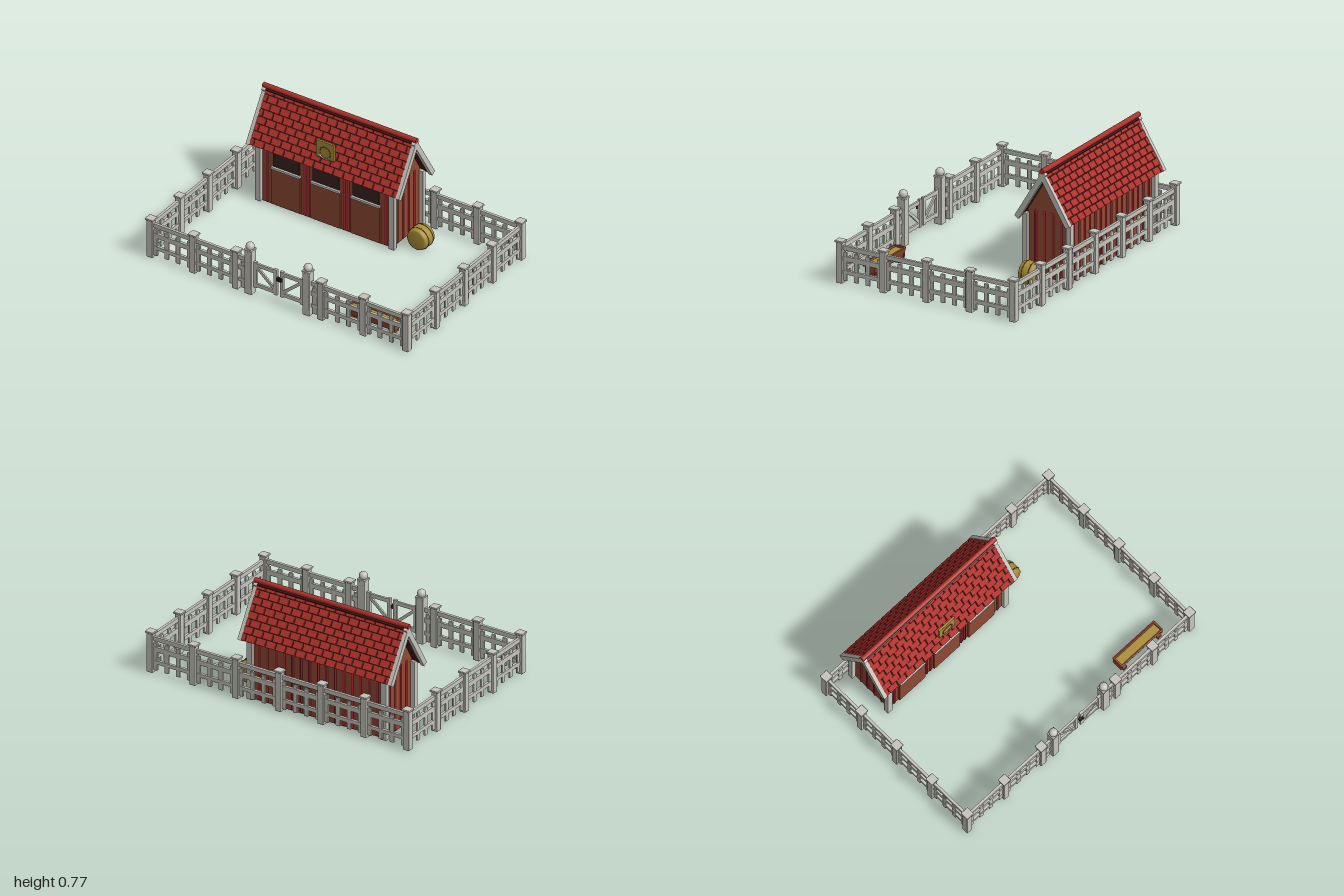
import * as THREE from 'three';
import { mergeGeometries } from 'three/addons/utils/BufferGeometryUtils.js';
import { RoundedBoxGeometry } from 'three/addons/geometries/RoundedBoxGeometry.js';

const material = (name, color) => {
  const m = new THREE.MeshStandardMaterial({ color });
  m.name = name;
  return m;
};

// Box centred at x, y, z, optionally turned about one axis
function box(w, h, d, x, y, z, rx = 0, rz = 0) {
  return new THREE.BoxGeometry(w, h, d).rotateX(rx).rotateZ(rz).translate(x, y, z);
}
// Softened box given by its bottom height
function soft(w, h, d, x, y0, z, r = 0.005) {
  return new RoundedBoxGeometry(w, h, d, 1, r).translate(x, y0 + h / 2, z);
}
function add(parent, name, geometries, mat) {
  const list = Array.isArray(geometries) ? geometries : [geometries];
  const mesh = new THREE.Mesh(list.length > 1 ? mergeGeometries(list) : list[0], mat);
  mesh.name = name;
  parent.add(mesh);
  return mesh;
}
function group(parent, name, x = 0, y = 0, z = 0) {
  const g = new THREE.Group();
  g.name = name;
  g.position.set(x, y, z);
  parent.add(g);
  return g;
}

export function createModel() {
  const root = new THREE.Group();
  root.name = 'stableYard';
  const white = material('weathered white', 0xc6c5bd);
  const brown = material('barn brown', 0x8f4a33);
  const red = material('roof red', 0xae312b);
  const darkRed = material('trim red', 0x94202a);
  const dark = material('roof shadow brown', 0x3d1715);
  const glass = material('stall opening', 0x38221f);
  const gold = material('straw gold', 0xac8f3a);
  const darkGold = material('twine brown', 0x6b5420);
  const iron = material('iron', 0x242122);

  // ---- Fence ----
  const X = 0.97, ZB = -0.64, ZF = 0.635, base = 0.01;
  const fence = group(root, 'fence');
  const post = (x, z) => add(fence, 'fencePost', [
    soft(0.046, 0.275, 0.046, x, base, z),
    soft(0.06, 0.014, 0.06, x, 0.284, z, 0.004),
  ], white);
  // One run of three rails with pickets, between two points
  function panel(x1, z1, x2, z2, pickets) {
    const len = Math.hypot(x2 - x1, z2 - z1);
    const g = group(fence, 'fencePanel', (x1 + x2) / 2, 0, (z1 + z2) / 2);
    g.rotation.y = Math.atan2(z1 - z2, x2 - x1);
    add(g, 'rails', [[0.25, 0.03], [0.178, 0.034], [0.087, 0.026]]
      .map(([y, h]) => box(len, h, 0.018, 0, y, 0)), white);
    const bars = [];
    for (let i = 0; i < pickets; i++)
      bars.push(soft(0.032, 0.195, 0.014, (i - (pickets - 1) / 2) * 0.085, 0.027, 0, 0.004));
    add(g, 'pickets', bars, white);
  }
  const step = X / 3, depth = (ZF - ZB) / 4;
  for (let i = 0; i <= 6; i++) {
    const x = -X + i * step;
    post(x, ZB);
    if (i !== 3) post(x, ZF);
    if (i < 6) panel(x, ZB, x + step, ZB, 4);
    if (i < 2 || i === 4 || i === 5) panel(x, ZF, x + step, ZF, 4);
  }
  for (const s of [-1, 1]) {
    for (let i = 0; i < 4; i++) {
      const z = ZB + i * depth;
      if (i) post(s * X, z);
      panel(s * X, z, s * X, z + depth, 4);
    }
    panel(s * step, ZF, s * 0.22, ZF, 1);
  }

  // ---- Gate ----
  const gate = group(root, 'gate', 0, 0, ZF);
  for (const s of [-1, 1]) {
    const px = s * 0.22;
    add(gate, 'gatePost', [
      soft(0.056, 0.32, 0.056, px, base, 0),
      soft(0.062, 0.014, 0.062, px, 0.325, 0, 0.004),
    ], white);
    add(gate, 'gatePostBall', new THREE.SphereGeometry(0.029, 20, 14).translate(px, 0.356, 0), white);
    const a = Math.atan2(0.13, 0.15) * s;
    add(gate, 'gateLeaf', [
      box(0.024, 0.19, 0.018, s * 0.023, 0.16, 0),
      box(0.024, 0.19, 0.018, s * 0.178, 0.16, 0),
      box(0.17, 0.026, 0.014, s * 0.1, 0.235, 0),
      box(0.17, 0.026, 0.014, s * 0.1, 0.085, 0),
      box(0.2, 0.02, 0.012, s * 0.1, 0.16, 0, 0, a),
    ], white);
  }
  add(gate, 'gateLatch', box(0.034, 0.024, 0.022, 0.01, 0.195, 0.012), iron);

  // ---- Stable ----
  const CX = -0.267, CZ = -0.445;
  const barn = group(root, 'stable', CX, 0, CZ);
  const halfL = 0.498, halfW = 0.155;
  const wall = new THREE.Shape([[-halfW, base], [halfW, base], [halfW, 0.46], [0, 0.715], [-halfW, 0.46]]
    .map(([x, y]) => new THREE.Vector2(x, y)));
  add(barn, 'walls', new THREE.ExtrudeGeometry(wall, { depth: halfL * 2, bevelEnabled: false })
    .translate(0, 0, -halfL).rotateY(Math.PI / 2), brown);
  const corners = [];
  for (const sx of [-1, 1]) for (const sz of [-1, 1])
    corners.push(soft(0.042, 0.42, 0.036, sx * 0.507, base, sz * 0.162, 0.004));
  add(barn, 'cornerPosts', corners, white);

  // Round battens on the end walls, the back and between the doors
  const battens = [];
  const batten = (x, z) => battens.push(
    new THREE.CapsuleGeometry(0.008, 0.43, 3, 8).translate(x, 0.235, z));
  for (const s of [-1, 1])
    for (let i = 0; i < 4; i++) batten(s * halfL, (i - 1.5) * 0.063);
  for (let i = 0; i < 15; i++) batten((i - 7) * 0.064, -halfW);
  for (const x of [-0.45, -0.165, -0.135, 0.135, 0.165, 0.45]) batten(x, halfW);
  add(barn, 'battens', battens, darkRed);

  // Three stall doors with an open upper half
  for (let i = -1; i <= 1; i++) {
    const stall = group(barn, 'stallDoor', i * 0.302, 0, halfW);
    add(stall, 'lowerDoor', soft(0.225, 0.265, 0.016, 0, 0.018, 0.006, 0.003), brown);
    add(stall, 'opening', box(0.2, 0.115, 0.008, 0, 0.35, 0.003), glass);
    add(stall, 'frame', [
      box(0.215, 0.016, 0.022, 0, 0.29, 0.011),
      box(0.215, 0.016, 0.018, 0, 0.412, 0.008),
    ], white);
  }

  // ---- Roof: two tiled slopes, the back one mirrored ----
  const drop = 0.33, reach = 0.2, L = Math.hypot(drop, reach), apex = 0.752;
  const roofHalf = 0.565, rows = 8, cols = 15;
  const rowLen = L / rows, tileW = roofHalf * 2 / cols;
  for (const turn of [0, Math.PI]) {
    const side = group(barn, 'roofSide', 0, apex, 0);
    side.rotation.y = turn;
    const slope = group(side, 'roofSlope');
    slope.rotation.x = Math.atan2(drop, reach);
    add(slope, 'roofBoard', box(roofHalf * 2, 0.018, L - 0.008, 0, -0.016, L / 2 - 0.004), dark);
    const tiles = [];
    for (let r = 0; r < rows; r++) {
      const shift = r % 2 ? tileW / 2 : 0;
      for (let c = 0; c <= cols; c++) {
        const x1 = Math.max(-roofHalf, -roofHalf + c * tileW - shift);
        const x2 = Math.min(roofHalf, -roofHalf + (c + 1) * tileW - shift);
        if (x2 - x1 < 0.01) continue;
        tiles.push(box(x2 - x1 - 0.007, 0.01, rowLen - 0.005, (x1 + x2) / 2, -0.003, (r + 0.5) * rowLen, -0.08));
      }
    }
    add(slope, 'roofTiles', tiles, red);
    add(slope, 'bargeBoards', [-1, 1].map((s) =>
      box(0.026, 0.036, L + 0.002, s * 0.568, -0.014, L / 2)), white);
  }
  add(barn, 'ridge', new THREE.CylinderGeometry(0.017, 0.017, 1.165, 12)
    .rotateZ(Math.PI / 2).translate(0, 0.758, 0), red);

  // Sign with a horseshoe on the front slope
  const sign = group(barn, 'sign', 0, 0.563, 0.163);
  add(sign, 'signBoard', soft(0.137, 0.125, 0.016, 0, -0.0625, 0, 0.003), gold);
  add(sign, 'signRing', new THREE.TorusGeometry(0.04, 0.003, 6, 28).translate(0, -0.016, 0.008), darkGold);
  add(sign, 'horseshoe', new THREE.TorusGeometry(0.044, 0.006, 6, 16, Math.PI * 0.7)
    .rotateZ(Math.PI * 1.15).translate(0, -0.016, 0.008), white);

  // ---- Round straw bale lying beside the stable ----
  const bale = group(root, 'strawBale', 0.375, 0.087, -0.4);
  const profile = [[0, -0.056], [0.06, -0.056], [0.072, -0.048], [0.078, -0.02], [0.078, 0.02],
    [0.072, 0.048], [0.06, 0.056], [0, 0.056]].map(([x, y]) => new THREE.Vector2(x, y));
  add(bale, 'straw', new THREE.LatheGeometry(profile, 28).rotateX(Math.PI / 2), gold);
  for (const z of [-0.024, 0.024])
    add(bale, 'twine', new THREE.TorusGeometry(0.077, 0.003, 6, 28).translate(0, 0, z), darkGold);

  // ---- Feed trough ----
  const trough = group(root, 'trough', 0.635, 0, 0.514);
  const parts = [box(0.33, 0.012, 0.04, 0, 0.046, 0)];
  for (const s of [-1, 1]) {
    parts.push(box(0.36, 0.068, 0.01, 0, 0.077, s * 0.031, s * 0.25));
    parts.push(box(0.012, 0.07, 0.07, s * 0.175, 0.077, 0));
    parts.push(box(0.03, 0.034, 0.084, s * 0.15, 0.027, 0));
  }
  add(trough, 'troughBody', parts, brown);
  add(trough, 'feed', box(0.335, 0.04, 0.056, 0, 0.08, 0), gold);

  return root;
}
